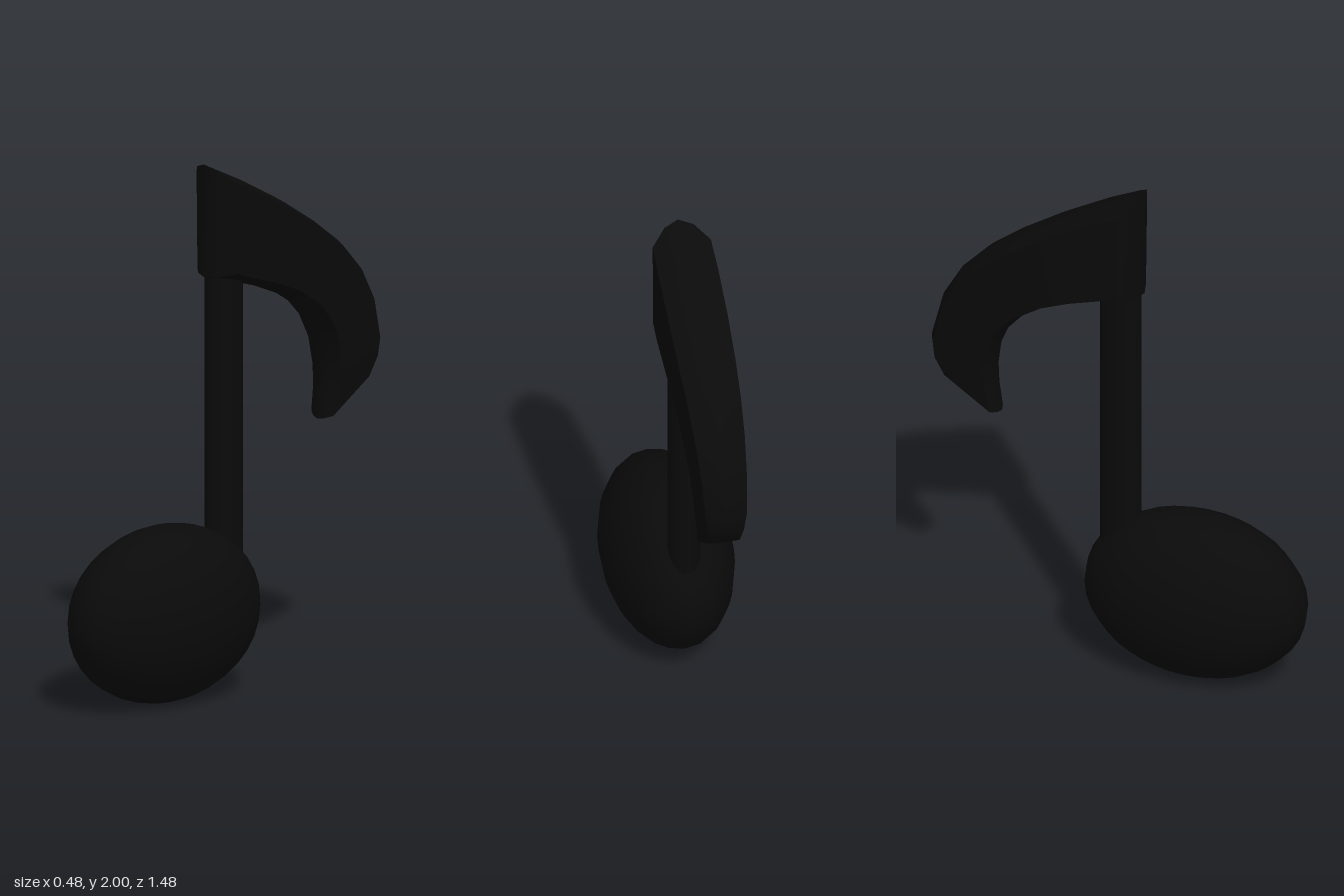
import * as THREE from 'three';
import { toCreasedNormals } from 'three/addons/utils/BufferGeometryUtils.js';

// Flag sections: outer z, outer y, inner z, inner y, half width
const SECTIONS = [
  [0.105, 2.0, 0.1, 1.57, 0.11],
  [-0.08, 1.912, -0.04, 1.535, 0.112],
  [-0.25, 1.82, -0.15, 1.5, 0.111],
  [-0.4, 1.725, -0.27, 1.45, 0.107],
  [-0.52, 1.635, -0.37, 1.385, 0.101],
  [-0.62, 1.53, -0.44, 1.305, 0.094],
  [-0.695, 1.4, -0.475, 1.22, 0.086],
  [-0.737, 1.24, -0.485, 1.12, 0.077],
  [-0.732, 1.17, -0.48, 1.04, 0.068],
  [-0.695, 1.1, -0.465, 0.945, 0.06],
];

// Boxy section with softly crowned outer and inner faces: [x, drop from crown]
const CROWN = [[-1, 0.03], [-0.5, 0.01], [0, 0], [0.5, 0.01], [1, 0.03]];

function flagGeometry() {
  const pos = [], index = [], n = CROWN.length, ring = n * 2;
  SECTIONS.forEach(([oz, oy, iz, iy, w], r) => {
    const len = Math.hypot(oz - iz, oy - iy);
    const dz = (oz - iz) / len, dy = (oy - iy) / len;
    const add = (x, drop, z, y, sign) => {
      const setBack = r === 0 ? 0.065 * x * x : 0; // rounded front end
      // the set-back end follows the slope of the flag
      pos.push(x * w, y - sign * drop * dy - setBack * 0.5 * (sign > 0 ? 1 : 0.2), z - sign * drop * dz - setBack);
    };
    CROWN.forEach(([x, d]) => add(x, d, oz, oy, 1));
    CROWN.forEach(([x, d]) => add(-x, d, iz, iy, -1));
  });
  const last = (SECTIONS.length - 1) * ring;
  // Skin
  for (let r = 0; r < last; r += ring) {
    for (let k = 0; k < ring; k++) {
      const a = r + k, b = r + (k + 1) % ring;
      index.push(a, b, a + ring, b, b + ring, a + ring);
    }
  }
  // End caps, strip by strip
  for (let k = 0; k < n - 1; k++) {
    const a = k, b = k + 1, c = ring - 1 - k, d = ring - 2 - k;
    index.push(a, c, b, b, c, d);
    index.push(last + a, last + b, last + c, last + b, last + d, last + c);
  }
  const g = new THREE.BufferGeometry();
  g.setAttribute('position', new THREE.Float32BufferAttribute(pos, 3));
  g.setIndex(index);
  return toCreasedNormals(g, 0.8);
}

export function createModel() {
  const group = new THREE.Group();
  const black = new THREE.MeshStandardMaterial({ color: 0x0a0a0a });
  const part = (name, geometry) => {
    const mesh = new THREE.Mesh(geometry, black);
    mesh.name = name;
    group.add(mesh);
    return mesh;
  };

  // Oval note head
  const head = part('noteHead', new THREE.SphereGeometry(1, 20, 18));
  head.scale.set(0.242, 0.333, 0.435);
  head.position.set(0, 0.333, 0.305);

  // Oval stem, sunk into the head and the flag
  const stem = part('stem', new THREE.CylinderGeometry(1, 1, 1.3, 20));
  stem.scale.set(0.06, 1, 0.079);
  stem.position.set(0, 1.05, 0.006);

  // Curved flag
  part('flag', flagGeometry());
  return group;
}
